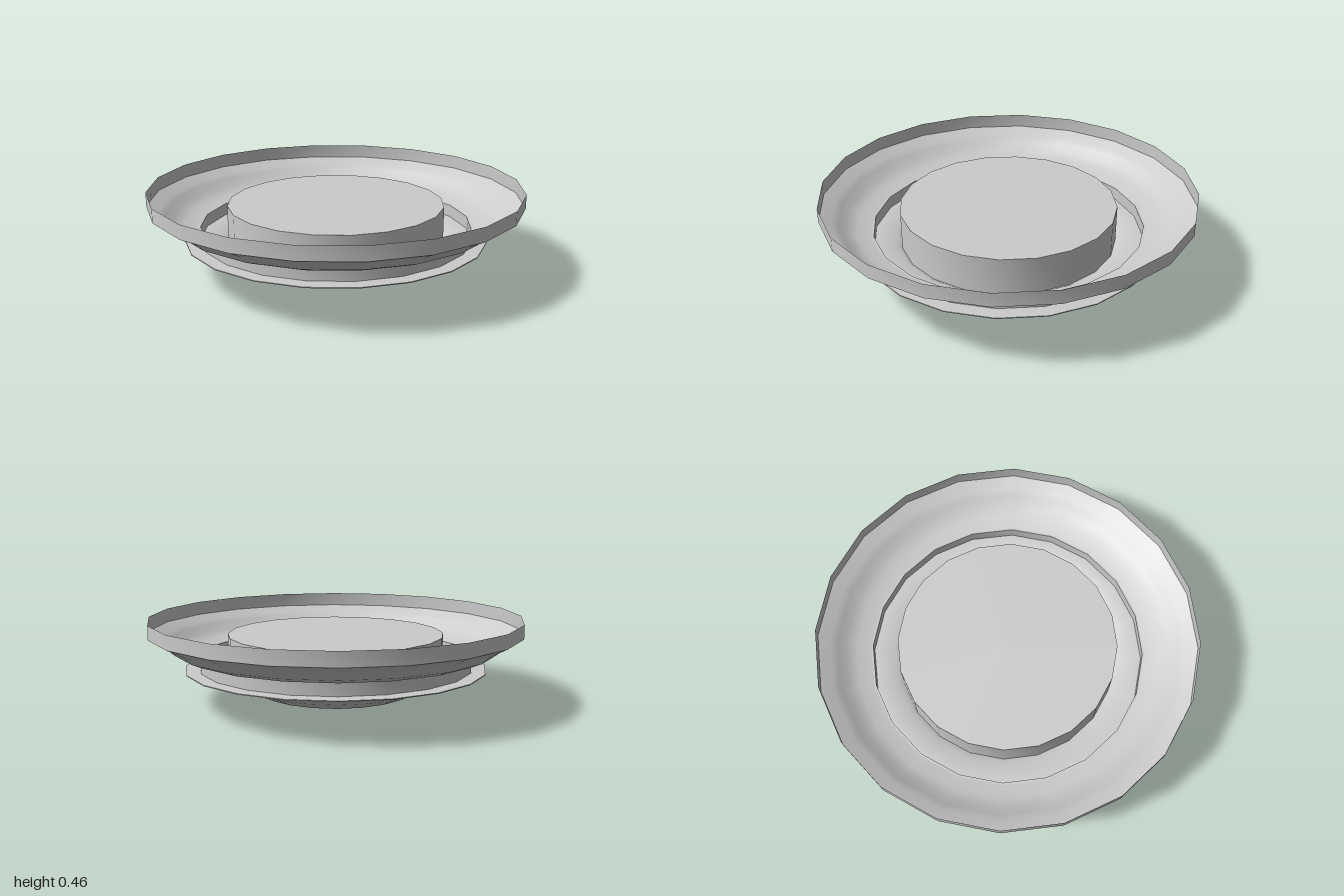
import * as THREE from 'three';
import { toCreasedNormals } from 'three/addons/utils/BufferGeometryUtils.js';

const SIDES = 20;

// Turned part from [radius, height] pairs, smooth around and creased at sharp profile bends
function turned(name, profile, material) {
  const points = profile.map(([r, y]) => new THREE.Vector2(r, y));
  const geometry = toCreasedNormals(new THREE.LatheGeometry(points, SIDES), 0.5);
  const mesh = new THREE.Mesh(geometry, material);
  mesh.name = name;
  return mesh;
}

export function createModel() {
  const model = new THREE.Group();
  model.name = 'ceilingLight';
  const grey = new THREE.MeshStandardMaterial({ color: 0xcccccc, side: THREE.DoubleSide });

  // Wide open reflector with an upright rim
  model.add(turned('reflector', [
    [0.735, 0.26], [0.81, 0.275], [0.87, 0.3], [0.905, 0.335], [0.94, 0.355],
    [1, 0.385], [1, 0.46],
  ], grey));

  // Thin-walled collar joining the reflector to the flange
  model.add(turned('collar', [
    [0.735, 0.19], [0.735, 0.26], [0.725, 0.26], [0.725, 0.18],
  ], grey));

  // Flat flange with a bevelled edge and a lip sloping in to the dome
  model.add(turned('flange', [
    [0.57, 0.165], [0.61, 0.17], [0.73, 0.17], [0.81, 0.187], [0.81, 0.192],
    [0.73, 0.194], [0.61, 0.19], [0.575, 0.17],
  ], grey));

  // Closed housing drum standing inside the reflector
  model.add(turned('housing', [
    [0.58, 0.17], [0.58, 0.37], [0, 0.37],
  ], grey));

  // Shallow dome lens underneath
  model.add(turned('domeLens', [
    [0, 0], [0.22, 0.015], [0.4, 0.05], [0.5, 0.095], [0.55, 0.135], [0.575, 0.175],
  ], grey));

  return model;
}
